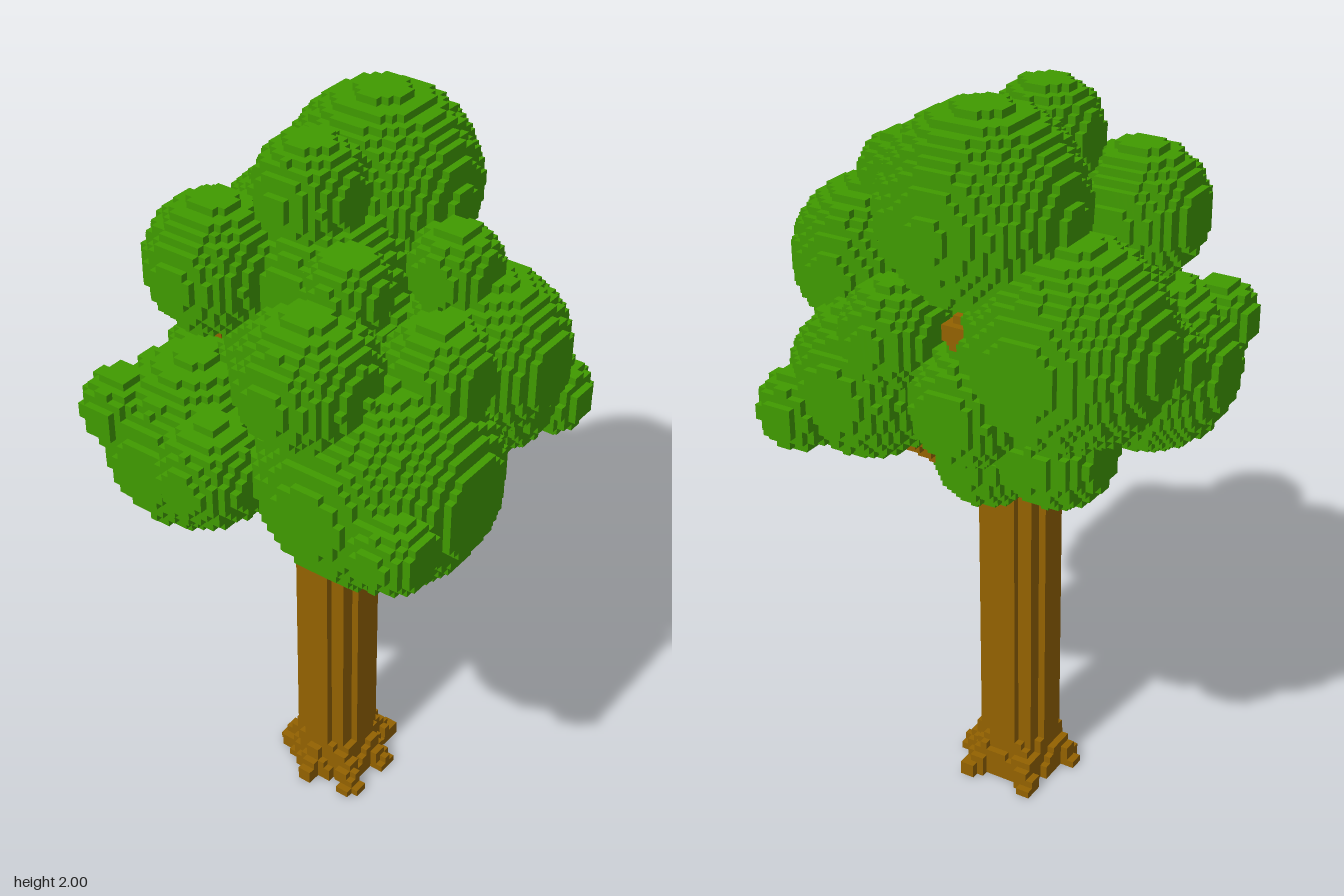
import * as THREE from 'three';

const UNIT = 0.02;               // edge of one block
const SIZE = [54, 100, 55];      // grid cells along x, y, z
const ORIGIN = [-0.54, 0, -0.55];
const TRUNK = 1, BRANCH = 2, LEAF = 3;

// Leaf clusters: x, y, z, radius
const CLUSTERS = [
  [0.27, 1.755, -0.06, 0.245], [0.28, 1.47, -0.30, 0.25], [0.12, 1.5, 0.36, 0.2],
  [-0.19, 1.29, 0.27, 0.295], [-0.25, 1.2, -0.24, 0.235], [0.31, 1.27, 0.24, 0.2],
  [-0.33, 1.57, 0.17, 0.17], [-0.02, 1.85, -0.06, 0.135], [-0.15, 1.65, -0.25, 0.17],
  [0.12, 1.03, 0.02, 0.14], [0.44, 1.2, 0.37, 0.1], [-0.41, 1.26, -0.06, 0.135],
  [-0.40, 1.26, 0.46, 0.1], [-0.18, 1.73, 0.17, 0.1], [0.08, 1.71, 0.29, 0.11],
  [-0.10, 1.55, 0.37, 0.13], [0.39, 1.45, 0.11, 0.13], [0.38, 1.31, -0.1, 0.15],
  [0.11, 1.14, 0.28, 0.1], [-0.38, 1.3, -0.37, 0.1], [-0.06, 1.3, -0.36, 0.11],
  [0.12, 1.26, -0.27, 0.14], [0.3, 1.2, -0.28, 0.14], [0, 1.4, 0, 0.28],
  [0, 1.62, -0.02, 0.19], [0.07, 1.02, -0.08, 0.09], [0.24, 1.2, -0.02, 0.12],
  [-0.19, 1.12, 0.22, 0.15],
];

const vec = (t) => new THREE.Vector3(...t);
const limbs = (from, tips) => tips.map((tip) => new THREE.Line3(vec(from), vec(tip)));

// Branches grow from the top of the trunk
const BRANCHES = limbs([0.02, 0.9, -0.01], [
  [0.26, 1.1, 0.15], [0.22, 1.11, -0.17], [-0.12, 1.03, 0.05], [-0.05, 1.08, 0.08],
  [0.1, 1.3, 0.34], [0.17, 1.31, 0.34], [0.41, 1.5, -0.08], [-0.08, 1.43, -0.28],
  [-0.06, 1.09, -0.16],
]);

// Roots spread out from the foot of the trunk
const ROOTS = limbs([0.02, 0.2, -0.01], [
  [-0.09, 0, 0.12], [0.15, 0, -0.11], [0.16, 0, 0.07],
  [-0.12, 0, -0.01], [-0.03, 0, -0.14], [0.05, 0, 0.13],
]);

const nearest = new THREE.Vector3();
const insideLimb = (p, lines, radius) => lines.some(
  (line) => line.closestPointToPoint(p, true, nearest).distanceTo(p) < radius);

function insideTrunk(p) {
  const radius = 0.1 + 0.03 * Math.max(0, 1 - p.y / 0.13);
  if (p.y < 1.06 && Math.hypot(p.x - 0.02, p.z + 0.01) < radius) return true;
  return p.y < 0.2 && insideLimb(p, ROOTS, 0.03);
}

function partAt(p) {
  if (CLUSTERS.some(([x, y, z, r]) => Math.hypot(p.x - x, p.y - y, p.z - z) < r)) return LEAF;
  if (insideTrunk(p)) return TRUNK;
  return p.y > 0.85 && insideLimb(p, BRANCHES, 0.035) ? BRANCH : 0;
}

function fillGrid() {
  const cells = new Uint8Array(SIZE[0] * SIZE[1] * SIZE[2]);
  const p = new THREE.Vector3();
  let n = 0;
  for (let z = 0; z < SIZE[2]; z++)
    for (let y = 0; y < SIZE[1]; y++)
      for (let x = 0; x < SIZE[0]; x++) {
        p.set(ORIGIN[0] + (x + 0.5) * UNIT, (y + 0.5) * UNIT, ORIGIN[2] + (z + 0.5) * UNIT);
        cells[n++] = partAt(p);
      }
  return (c) => c.some((v, i) => v < 0 || v >= SIZE[i])
    ? 0 : cells[(c[2] * SIZE[1] + c[1]) * SIZE[0] + c[0]];
}

// Outer block faces of one part, joined into strips along one axis
function blockSurface(cell, part) {
  const positions = [], normals = [], index = [];
  for (let d = 0; d < 3; d++) {
    const u = (d + 1) % 3, v = (d + 2) % 3;
    for (const side of [-1, 1]) {
      const c = [0, 0, 0];
      const exposed = () => {
        if (cell(c) !== part) return false;
        const next = c.slice();
        next[d] += side;
        return cell(next) === 0;
      };
      const addStrip = (start, end) => {
        const base = positions.length / 3;
        for (const [a, b] of [[start, 0], [end, 0], [end, 1], [start, 1]]) {
          const q = [0, 0, 0], normal = [0, 0, 0];
          q[d] = c[d] + (side > 0 ? 1 : 0);
          q[u] = a;
          q[v] = c[v] + b;
          normal[d] = side;
          positions.push(...q.map((k, i) => ORIGIN[i] + k * UNIT));
          normals.push(...normal);
        }
        const order = side > 0 ? [0, 1, 2, 0, 2, 3] : [0, 2, 1, 0, 3, 2];
        index.push(...order.map((k) => base + k));
      };
      for (c[d] = 0; c[d] < SIZE[d]; c[d]++)
        for (c[v] = 0; c[v] < SIZE[v]; c[v]++) {
          let start = -1;
          for (c[u] = 0; c[u] <= SIZE[u]; c[u]++) {
            const open = exposed();
            if (open && start < 0) start = c[u];
            if (!open && start >= 0) {
              addStrip(start, c[u]);
              start = -1;
            }
          }
        }
    }
  }
  const geometry = new THREE.BufferGeometry();
  geometry.setAttribute('position', new THREE.Float32BufferAttribute(positions, 3));
  geometry.setAttribute('normal', new THREE.Float32BufferAttribute(normals, 3));
  geometry.setIndex(index);
  return geometry;
}

export function createModel() {
  const bark = new THREE.MeshStandardMaterial({ color: 0x936200 });
  bark.name = 'bark brown';
  const leaf = new THREE.MeshStandardMaterial({ color: 0x409a00 });
  leaf.name = 'leaf green';

  const tree = new THREE.Group();
  tree.name = 'tree';
  const cell = fillGrid();
  for (const [name, part, material] of [
    ['trunk', TRUNK, bark], ['branches', BRANCH, bark], ['foliage', LEAF, leaf],
  ]) {
    const mesh = new THREE.Mesh(blockSurface(cell, part), material);
    mesh.name = name;
    tree.add(mesh);
  }
  return tree;
}
